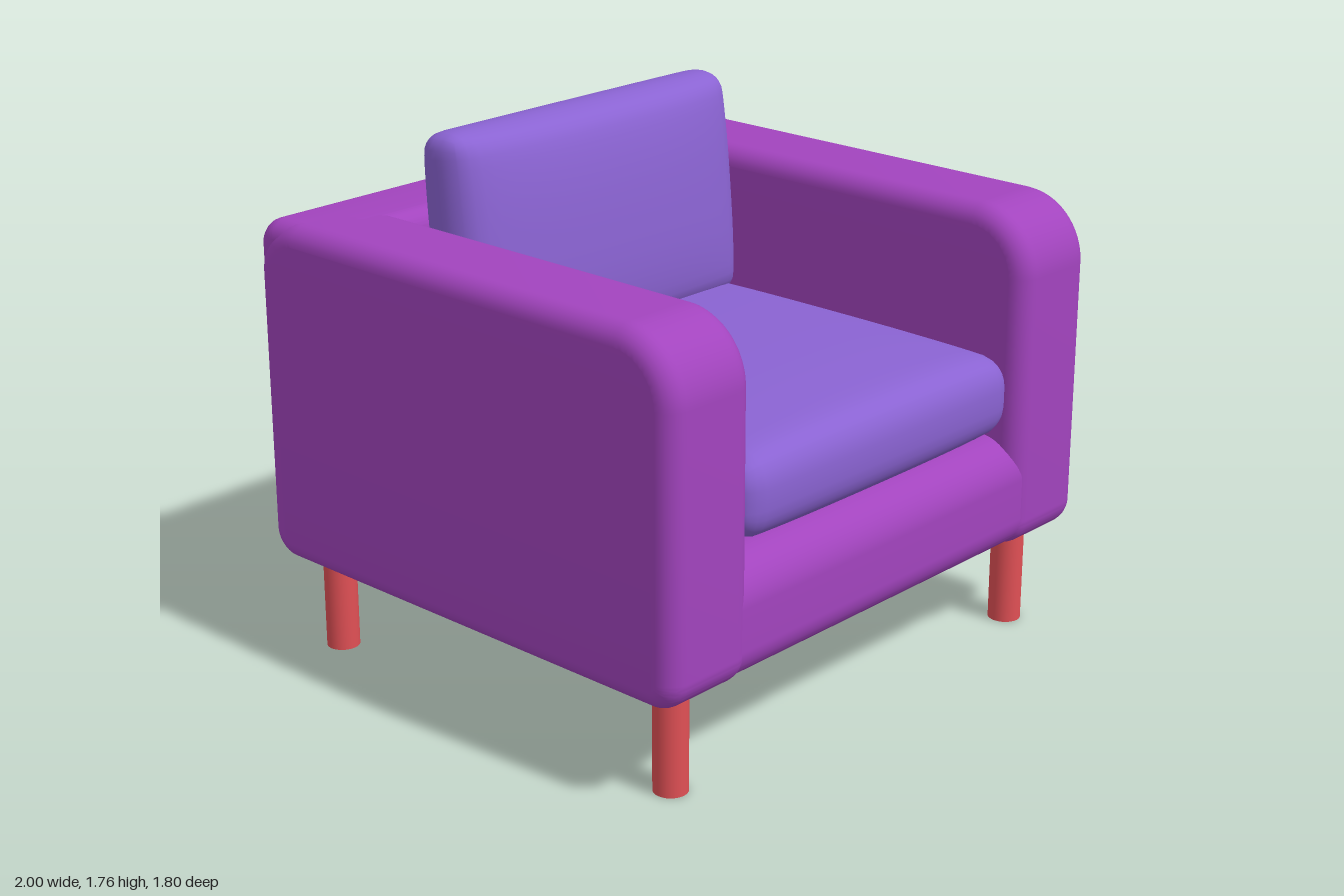
import * as THREE from 'three';
import { mergeVertices, toCreasedNormals } from 'three/addons/utils/BufferGeometryUtils.js';

const fabric = new THREE.MeshStandardMaterial({ color: 0xa244be });
fabric.name = 'magenta fabric';
const cushionFabric = new THREE.MeshStandardMaterial({ color: 0x8a63d2 });
cushionFabric.name = 'violet fabric';
const legPaint = new THREE.MeshStandardMaterial({ color: 0xe05055 });
legPaint.name = 'red paint';

function addMesh(group, name, geometry, material, x = 0, y = 0, z = 0) {
  const mesh = new THREE.Mesh(geometry, material);
  mesh.name = name;
  mesh.position.set(x, y, z);
  group.add(mesh);
  return mesh;
}

// Side profile with rounded corners, extruded across x with soft bevelled ends.
// radii: front top, back top, back bottom, front bottom
function upholstery(width, z0, z1, y0, y1, bevel, radii) {
  const [ft, bt, bb, fb] = radii.map((r) => Math.max(r - bevel, 0.005));
  const a = z0 + bevel, b = z1 - bevel, c = y0 + bevel, d = y1 - bevel;
  const q = Math.PI / 2;
  const shape = new THREE.Shape();
  shape.absarc(b - ft, d - ft, ft, 0, q);
  shape.absarc(a + bt, d - bt, bt, q, 2 * q);
  shape.absarc(a + bb, c + bb, bb, 2 * q, 3 * q);
  shape.absarc(b - fb, c + fb, fb, 3 * q, 4 * q);
  shape.closePath();
  const depth = width - 2 * bevel;
  const geometry = new THREE.ExtrudeGeometry(shape, {
    depth, bevelEnabled: true, bevelSize: bevel, bevelThickness: bevel,
    bevelSegments: 6, curveSegments: 10,
  });
  geometry.translate(0, 0, -depth / 2);
  geometry.rotateY(-Math.PI / 2);
  return toCreasedNormals(geometry, 0.6);
}

// Pillow: a rounded box whose thickness (z) swells from the seams to the middle.
function pillow(hx, hy, hz, radius, edge) {
  const n = 24;
  let geometry = new THREE.BoxGeometry(2, 2, 2, n, n, 12);
  geometry.deleteAttribute('uv');
  geometry.deleteAttribute('normal');
  geometry = mergeVertices(geometry, 1e-4);
  const pos = geometry.attributes.position;
  const half = new THREE.Vector3(hx, hy, hz * edge);
  const core = half.clone().subScalar(radius);
  const p = new THREE.Vector3(), inner = new THREE.Vector3();
  const warp = (t) => Math.sin(t * Math.PI / 2);
  for (let i = 0; i < pos.count; i++) {
    p.fromBufferAttribute(pos, i);
    p.set(warp(p.x), warp(p.y), warp(p.z)).multiply(half);
    inner.copy(p).clamp(core.clone().negate(), core);
    p.sub(inner);
    if (p.lengthSq() > 0) p.setLength(radius);
    p.add(inner);
    const u = Math.abs(p.x / hx), v = Math.abs(p.y / hy);
    const swell = Math.sqrt(Math.max(0, (1 - u ** 2.6) * (1 - v ** 2.6)));
    p.z *= 1 + (1 / edge - 1) * swell;
    pos.setXYZ(i, p.x, p.y, p.z);
  }
  geometry.computeVertexNormals();
  return geometry;
}

export function createModel() {
  const chair = new THREE.Group();
  chair.name = 'armchair';

  // Upholstered frame
  addMesh(chair, 'base', upholstery(1.9, -0.87, 0.895, 0.335, 0.72, 0.05, [0.14, 0.06, 0.1, 0.11]), fabric);
  addMesh(chair, 'backrest', upholstery(1.98, -0.9, -0.55, 0.34, 1.485, 0.06, [0.07, 0.09, 0.08, 0.06]), fabric);
  for (const [side, s] of [['left', 1], ['right', -1]]) {
    addMesh(chair, side + 'Arm', upholstery(0.35, -0.895, 0.9, 0.335, 1.485, 0.065, [0.22, 0.18, 0.1, 0.1]),
      fabric, s * 0.825);
  }

  // Loose cushions
  const seat = addMesh(chair, 'seatCushion', pillow(0.655, 0.715, 0.17, 0.095, 0.74), cushionFabric, 0, 0.885, 0.165);
  seat.rotation.x = -Math.PI / 2;
  const back = addMesh(chair, 'backCushion', pillow(0.635, 0.39, 0.165, 0.07, 0.5), cushionFabric, 0, 1.372, -0.408);
  back.rotation.x = -0.09;

  // Legs
  for (const [side, x] of [['Left', 0.837], ['Right', -0.837]]) {
    for (const [end, z] of [['front', 0.745], ['back', -0.745]]) {
      addMesh(chair, end + side + 'Leg', new THREE.CylinderGeometry(0.055, 0.055, 0.37, 24), legPaint, x, 0.185, z);
    }
  }
  return chair;
}
